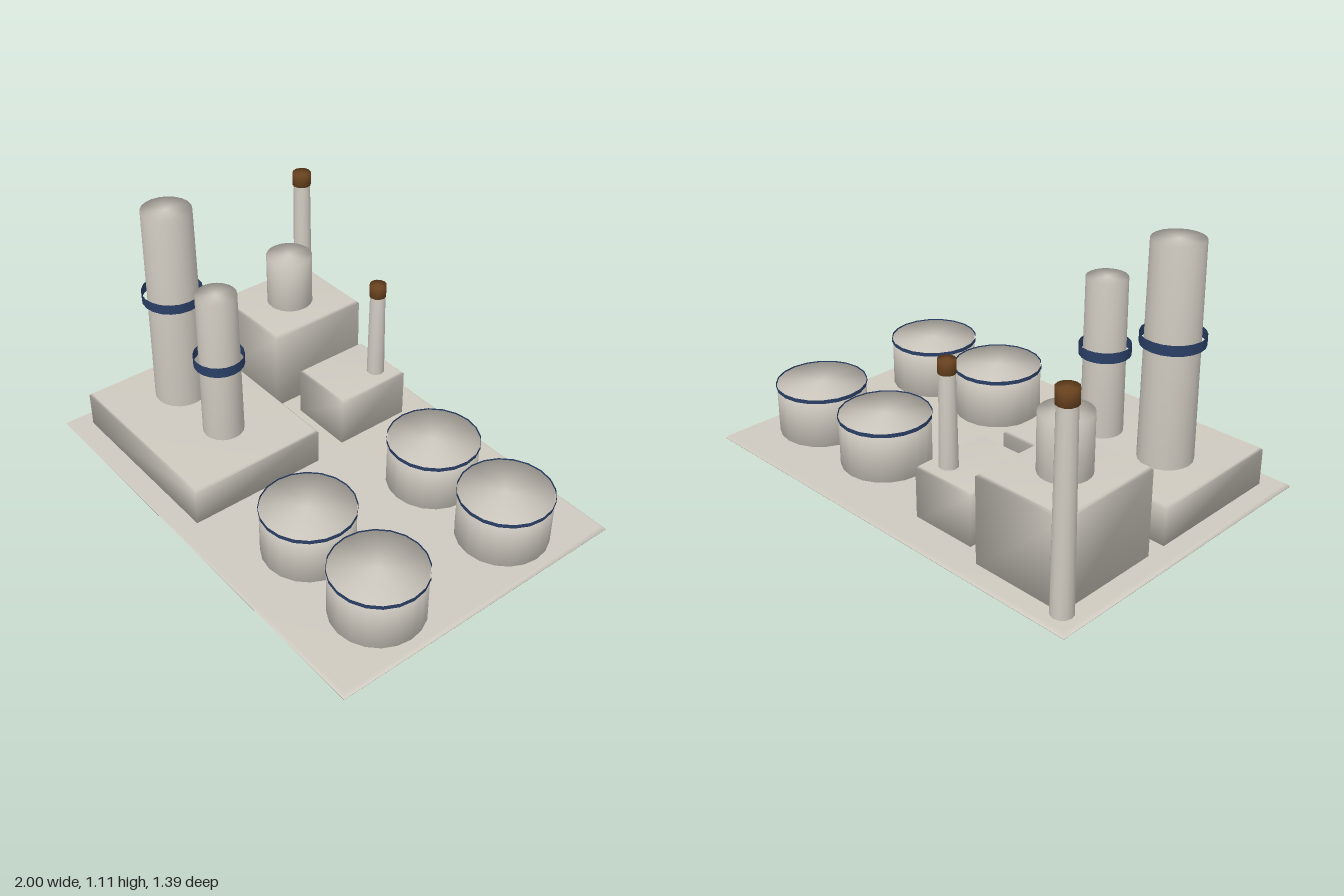
import * as THREE from 'three';
import { mergeVertices } from 'three/addons/utils/BufferGeometryUtils.js';

const mat = (name, color, side = THREE.FrontSide) => {
  const m = new THREE.MeshStandardMaterial({ color, side });
  m.name = name;
  return m;
};

// Share vertices across all edges so the shading rolls softly over them
function soften(geometry) {
  geometry.deleteAttribute('normal');
  geometry.deleteAttribute('uv');
  const g = mergeVertices(geometry, 1e-4);
  g.clearGroups();
  g.computeVertexNormals();
  return g;
}

export function createModel() {
  const model = new THREE.Group();
  model.name = 'industrialPlant';
  const concrete = mat('concrete', 0xcfcac0);
  const blue = mat('blueBand', 0x2a3f66, THREE.DoubleSide);
  const brown = mat('rustBrown', 0x6b4420);

  function add(name, geometry, material, x, y, z) {
    const mesh = new THREE.Mesh(geometry, material);
    mesh.name = name;
    mesh.position.set(x, y, z);
    model.add(mesh);
  }

  // Box from y0 to y1 whose top edge is chamfered
  function block(name, x0, x1, y0, y1, z0, z1, inset, drop) {
    const w = x1 - x0, h = y1 - y0, d = z1 - z0;
    const g = new THREE.BoxGeometry(w, h, d, 1, 2, 1);
    const p = g.attributes.position;
    for (let i = 0; i < p.count; i++) {
      const y = p.getY(i);
      if (Math.abs(y) < 1e-6) p.setY(i, h / 2 - drop);
      else if (y > 0) {
        p.setX(i, p.getX(i) * (1 - 2 * inset / w));
        p.setZ(i, p.getZ(i) * (1 - 2 * inset / d));
      }
    }
    add(name, soften(g), concrete, (x0 + x1) / 2, (y0 + y1) / 2, (z0 + z1) / 2);
  }

  function column(name, x, z, y0, y1, rBottom, rTop, sides, material = concrete) {
    const g = new THREE.CylinderGeometry(rTop, rBottom, y1 - y0, sides);
    add(name, soften(g), material, x, (y0 + y1) / 2, z);
  }

  // Thin open band around a column
  function band(name, x, z, y0, y1, r, sides) {
    const g = new THREE.CylinderGeometry(r, r, y1 - y0, sides, 1, true);
    add(name, g, blue, x, (y0 + y1) / 2, z);
  }

  // Ground slab and buildings
  block('groundSlab', -1, 1, 0.001, 0.016, -0.697, 0.697, 0.016, 0.013);
  block('towerPlatform', -0.91, -0.065, 0, 0.185, -0.033, 0.605, 0.01, 0.01);
  block('mainBuilding', -0.91, -0.488, 0, 0.4, -0.61, -0.125, 0.012, 0.012);
  block('sideBuilding', -0.396, -0.095, 0, 0.245, -0.548, -0.19, 0.01, 0.01);
  column('roofDrum', -0.7, -0.368, 0.39, 0.64, 0.105, 0.105, 24);

  // Process towers with collars
  column('tallTower', -0.67, 0.272, 0.175, 1.107, 0.115, 0.107, 20);
  band('tallTowerCollar', -0.67, 0.275, 0.682, 0.727, 0.131, 20);
  column('shortTower', -0.338, 0.272, 0.175, 0.865, 0.09, 0.086, 20);
  band('shortTowerCollar', -0.338, 0.275, 0.53, 0.577, 0.108, 20);

  // Chimneys with brown tips
  column('tallChimney', -0.911, -0.607, 0.01, 0.836, 0.046, 0.039, 12);
  column('tallChimneyTip', -0.911, -0.607, 0.834, 0.895, 0.043, 0.043, 12, brown);
  column('shortChimney', -0.186, -0.457, 0.235, 0.645, 0.04, 0.034, 12);
  column('shortChimneyTip', -0.186, -0.457, 0.643, 0.7, 0.037, 0.037, 12, brown);

  // Storage tanks in a two by two block
  for (const x of [0.33, 0.755]) {
    for (const z of [-0.337, 0.333]) {
      column('storageTank', x, z, 0, 0.24, 0.195, 0.195, 20);
      band('tankRim', x, z, 0.226, 0.244, 0.199, 20);
    }
  }
  return model;
}
